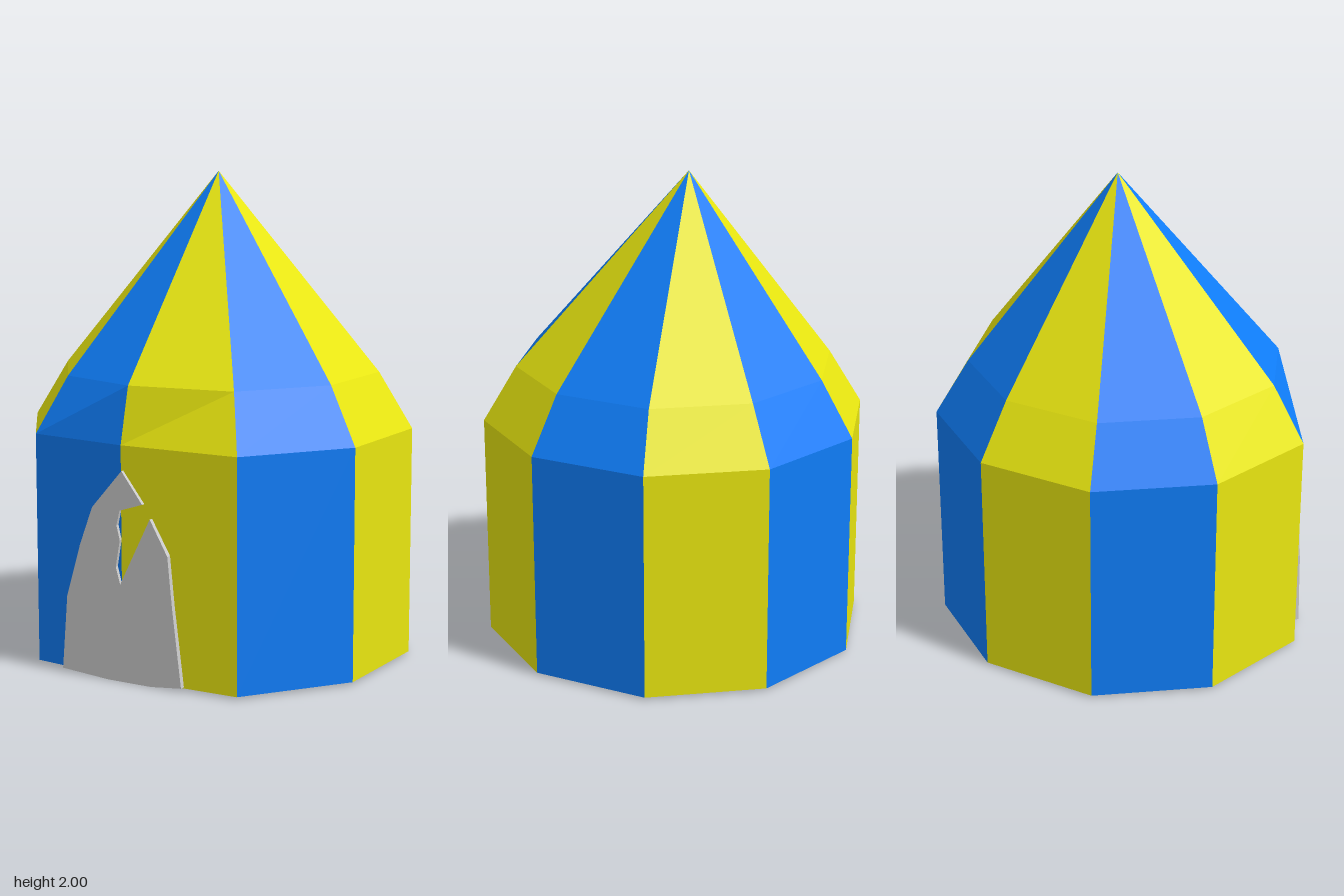
import * as THREE from 'three';

const SIDES = 10;
const CENTRE_Z = 0.05;
const APEX = [-0.04, 2, 0];

// Corner k of a ten-sided ring; corner 0, at the door, is pushed in to frontZ
function corner(k, radius, y, frontZ) {
  if (k % SIDES === 0) return [-0.04, y, frontZ];
  const a = (k / SIDES) * Math.PI * 2;
  return [radius * Math.sin(a), y, CENTRE_Z + radius * Math.cos(a)];
}
const base = (k) => corner(k, 0.81, 0.01, 0.735);
const eave = (k) => corner(k, 0.81, 0.96, 0.735);
const shoulder = (k) => corner(k, 0.67, 1.19, 0.68);

const quad = (a, b, c, d) => [a, b, c, a, c, d];

function facetedMesh(name, points, material) {
  const geometry = new THREE.BufferGeometry();
  geometry.setAttribute('position', new THREE.Float32BufferAttribute(points.flat(), 3));
  geometry.computeVertexNormals();
  const mesh = new THREE.Mesh(geometry, material);
  mesh.name = name;
  return mesh;
}

export function createModel() {
  const yellow = new THREE.MeshStandardMaterial({ color: 0xe8e610, flatShading: true });
  const blue = new THREE.MeshStandardMaterial({ color: 0x0f7df8, flatShading: true });
  const grey = new THREE.MeshStandardMaterial({ color: 0xcccccc, flatShading: true });

  const tent = new THREE.Group();
  tent.name = 'tent';

  // Striped panels: wall, sloping eave and roof of each side
  const floor = [];
  for (let k = 0; k < SIDES; k++) {
    const n = k + 1;
    const panel = [
      ...quad(base(k), base(n), eave(n), eave(k)),
      ...quad(eave(k), eave(n), shoulder(n), shoulder(k)),
      shoulder(k), shoulder(n), APEX,
    ];
    tent.add(facetedMesh('panel' + n, panel, k % 2 ? blue : yellow));
    floor.push([0, 0.01, CENTRE_Z], base(n), base(k));
  }
  tent.add(facetedMesh('floor', floor, blue));

  // Pointed entrance flap with a ragged tear near its tip
  const outline = [
    [-0.32, 0.015], [-0.1, 0], [0.1, 0], [0.24, 0.015], [0.2, 0.34], [0.18, 0.54],
    [0.1, 0.68], [-0.04, 0.4], [-0.06, 0.47], [-0.04, 0.58], [-0.055, 0.64],
    [-0.04, 0.7], [0.065, 0.735], [-0.03, 0.86], [-0.17, 0.7], [-0.23, 0.54], [-0.295, 0.32],
  ].map(([x, y]) => new THREE.Vector2(x, y));
  const entrance = new THREE.Mesh(
    new THREE.ExtrudeGeometry(new THREE.Shape(outline), { depth: 0.05, bevelEnabled: false }),
    grey
  );
  entrance.name = 'entranceFlap';
  entrance.position.z = 0.698;
  entrance.rotation.y = 0.027;
  tent.add(entrance);

  return tent;
}
